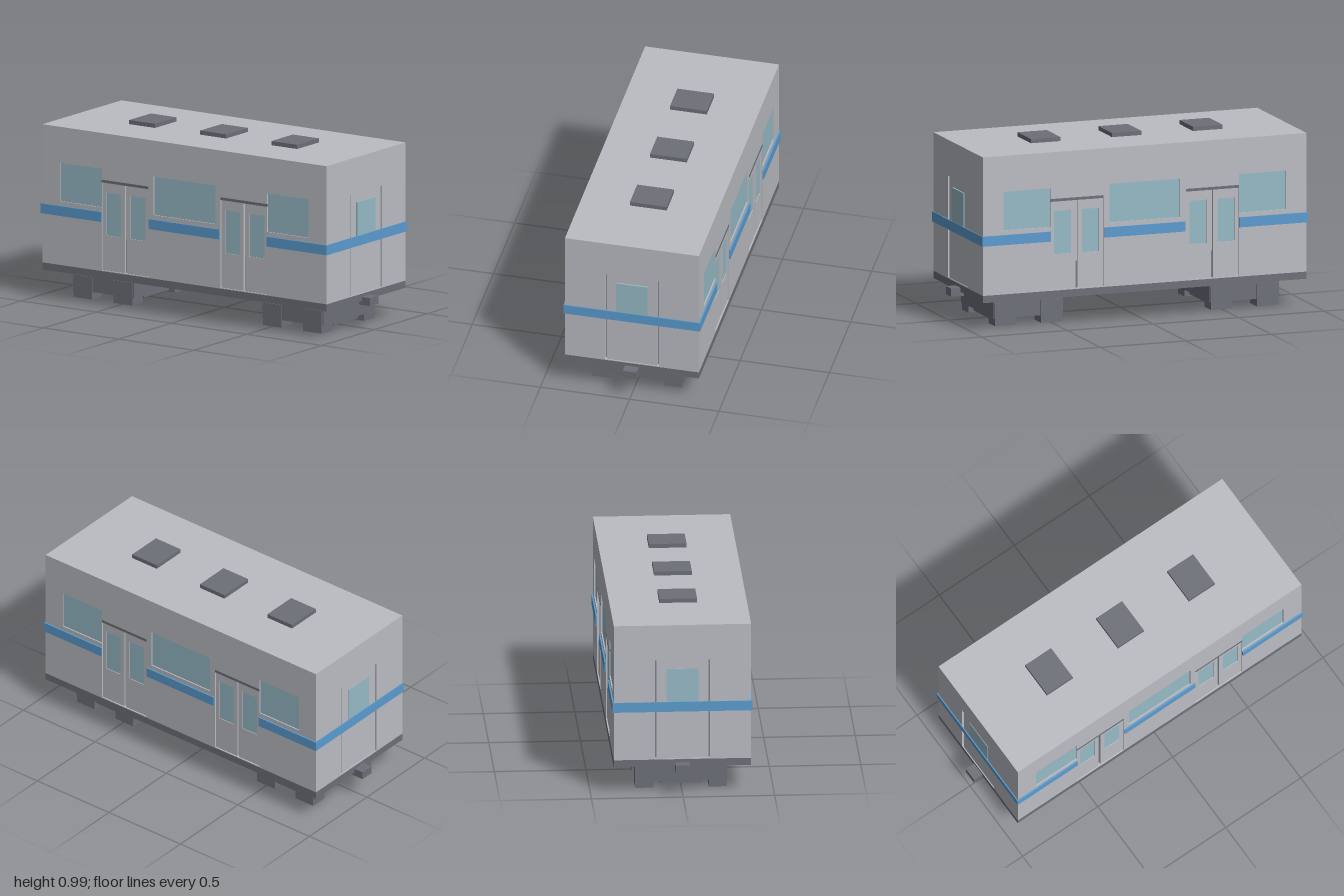
import * as THREE from 'three';

const mat = (name, color) => {
  const m = new THREE.MeshStandardMaterial({ color });
  m.name = name;
  return m;
};

export function createModel() {
  const shell = mat('light grey shell', 0xbbbdc3);
  const dark = mat('dark grey metal', 0x6d7078);
  const blue = mat('blue stripe', 0x5b9cd0);
  const glass = mat('pale window glass', 0x97bbc7);

  const model = new THREE.Group();
  model.name = 'railCar';

  // Box given by its lower and upper corners
  const box = (parent, name, m, [x0, y0, z0], [x1, y1, z1]) => {
    const mesh = new THREE.Mesh(new THREE.BoxGeometry(x1 - x0, y1 - y0, z1 - z0), m);
    mesh.position.set((x0 + x1) / 2, (y0 + y1) / 2, (z0 + z1) / 2);
    mesh.name = name;
    parent.add(mesh);
    return mesh;
  };

  // Flat panel with rectangular holes; rectangles are [x0, y0, x1, y1]
  const corners = ([x0, y0, x1, y1]) =>
    [[x0, y0], [x1, y0], [x1, y1], [x0, y1]].map(p => new THREE.Vector2(...p));
  const panel = (parent, name, m, rect, holes, front, depth) => {
    const shape = new THREE.Shape(corners(rect));
    shape.holes = holes.map(h => new THREE.Path(corners(h).reverse()));
    const mesh = new THREE.Mesh(
      new THREE.ExtrudeGeometry(shape, { depth, bevelEnabled: false }), m);
    mesh.position.z = front - depth;
    mesh.name = name;
    parent.add(mesh);
  };

  // Long side, facing +z locally with its outer face at z = 0
  const makeSide = () => {
    const side = new THREE.Group();
    side.name = 'carSide';
    const windows = [[-0.825, 0.555, -0.55, 0.77], [-0.205, 0.555, 0.205, 0.77], [0.55, 0.555, 0.825, 0.77]];
    const doorways = [-0.395, 0.395].map(c => [c - 0.155, 0.205, c + 0.155, 0.71]);
    panel(side, 'sideWall', shell, [-0.925, 0.2, 0.925, 0.95], [...windows, ...doorways], 0, 0.02);
    for (const [x0, y0, x1, y1] of windows)
      box(side, 'sideWindow', glass, [x0, y0, -0.014], [x1, y1, -0.007]);
    for (const c of [-0.395, 0.395]) {
      box(side, 'doorTrack', dark, [c - 0.155, 0.695, -0.018], [c + 0.155, 0.71, 0.002]);
      for (const s of [-1, 1]) {
        const xs = [c + s * 0.006, c + s * 0.155].sort((a, b) => a - b);
        const ws = [c + s * 0.032, c + s * 0.131].sort((a, b) => a - b);
        const pane = [ws[0], 0.4, ws[1], 0.64];
        panel(side, 'doorLeaf', shell, [xs[0], 0.205, xs[1], 0.695], [pane], -0.007, 0.012);
        box(side, 'doorWindow', glass, [ws[0], 0.4, -0.018], [ws[1], 0.64, -0.011]);
      }
    }
    // Stripe broken at the doorways
    for (const [a, b] of [[-0.945, -0.55], [-0.235, 0.235], [0.55, 0.945]])
      box(side, 'sideStripe', blue, [a, 0.475, 0], [b, 0.53, 0.008]);
    return side;
  };

  // End wall with a gangway door, facing +z locally
  const makeEnd = glassFront => {
    const end = new THREE.Group();
    end.name = 'carEnd';
    panel(end, 'endWall', shell, [-0.375, 0.2, 0.375, 0.95], [[-0.151, 0.205, 0.151, 0.77]], 0, 0.02);
    box(end, 'endDoor', shell, [-0.142, 0.205, -0.018], [0.142, 0.77, -0.005]);
    box(end, 'endDoorWindow', glass, [-0.087, 0.48, -0.006], [0.087, 0.718, glassFront]);
    box(end, 'endStripe', blue, [-0.383, 0.475, 0], [0.383, 0.53, 0.006]);
    box(end, 'coupler', dark, [-0.039, 0.137, -0.02], [0.039, 0.182, 0.055]);
    return end;
  };

  for (const s of [-1, 1]) {
    const side = makeSide();
    side.position.x = s * 0.375;
    side.rotation.y = s * Math.PI / 2;
    const end = makeEnd(s > 0 ? 0.003 : -0.002);
    end.position.z = s * 0.945;
    end.rotation.y = s > 0 ? 0 : Math.PI;
    model.add(side, end);
  }

  // Roof, vents and underframe
  box(model, 'roof', shell, [-0.375, 0.95, -0.945], [0.375, 0.97, 0.945]);
  for (const z of [-0.473, 0, 0.473])
    box(model, 'roofVent', dark, [-0.103, 0.97, z - 0.086], [0.103, 0.993, z + 0.086]);
  box(model, 'underframe', dark, [-0.375, 0.16, -0.945], [0.375, 0.2, 0.945]);

  // Bogies with four block wheels each
  for (const c of [-0.63, 0.63]) {
    const bogie = new THREE.Group();
    bogie.name = 'bogie';
    bogie.position.z = c;
    box(bogie, 'bogieFrame', dark, [-0.245, 0.041, -0.203], [0.245, 0.16, 0.203]);
    box(bogie, 'bogiePlate', dark, [-0.118, 0.019, -0.18], [0.118, 0.041, 0.18]);
    for (const sx of [-1, 1])
      for (const sz of [-1, 1]) {
        const wheel = box(bogie, 'wheelBlock', dark, [-0.05, 0, -0.062], [0.05, 0.126, 0.062]);
        wheel.position.x = sx * 0.201;
        wheel.position.z = sz * 0.134;
      }
    model.add(bogie);
  }
  return model;
}
